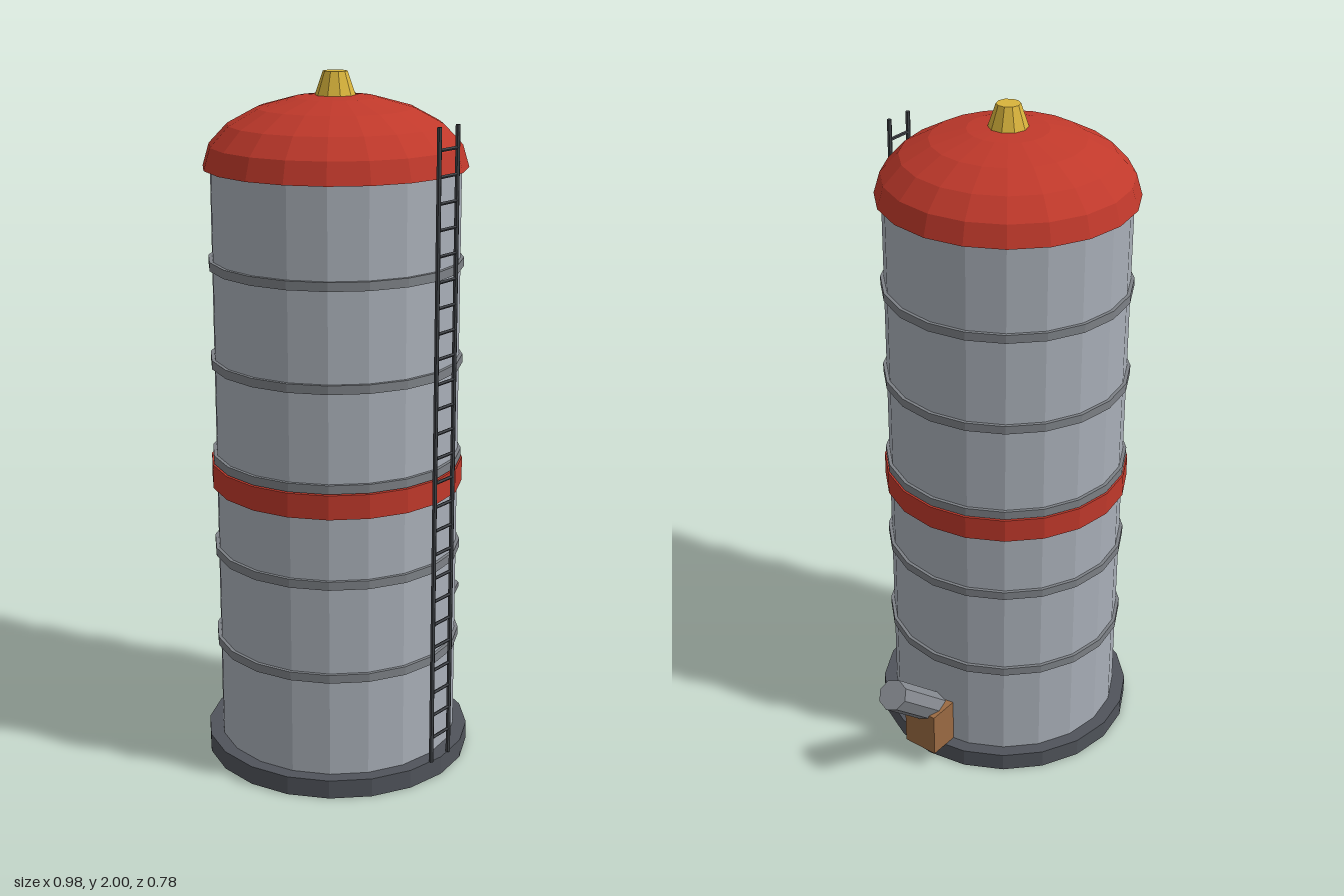
import * as THREE from 'three';

const material = (color, extra = {}) =>
  new THREE.MeshStandardMaterial({ color, flatShading: true, ...extra });

export function createModel() {
  const model = new THREE.Group();
  const steel = material(0xa9afb8);
  const hoopGrey = material(0x7d8186);
  const darkGrey = material(0x50545b);
  const red = material(0xc0392b);
  const redShell = material(0xc0392b, { side: THREE.DoubleSide });
  const gold = material(0xd9b43c);
  const brown = material(0x9a6a42);
  const pipeGrey = material(0x85898f);
  const ladderGrey = material(0x3f4247);

  const add = (parent, name, geometry, mat, x = 0, y = 0, z = 0) => {
    const mesh = new THREE.Mesh(geometry, mat);
    mesh.name = name;
    mesh.position.set(x, y, z);
    parent.add(mesh);
    return mesh;
  };
  // Upright cylinder spanning y0..y1
  const drum = (parent, name, rTop, rBottom, y0, y1, sides, mat, x = 0, z = 0) =>
    add(parent, name, new THREE.CylinderGeometry(rTop, rBottom, y1 - y0, sides), mat, x, (y0 + y1) / 2, z);

  // Tower, offset to leave room for the chute
  const tower = new THREE.Group();
  tower.name = 'tower';
  tower.position.x = -0.1;
  model.add(tower);
  drum(tower, 'base', 0.39, 0.39, 0, 0.055, 20, darkGrey);
  drum(tower, 'body', 0.35, 0.35, 0.05, 1.745, 20, steel);
  drum(tower, 'redBand', 0.364, 0.364, 0.83, 0.9, 20, red);
  for (let i = 0; i < 5; i++) {
    const y = 0.355 + i * 0.28;
    drum(tower, 'hoop', 0.36, 0.36, y - 0.0125, y + 0.0125, 20, hoopGrey);
  }

  // Flattened dome and its vent cap
  const domeShape = new THREE.SphereGeometry(0.37, 20, 5, 0, Math.PI * 2, 0, Math.PI / 2);
  domeShape.scale(1, 0.2 / 0.37, 1);
  add(tower, 'dome', domeShape, redShell, 0, 1.74, 0);
  drum(tower, 'ventCap', 0.034, 0.058, 1.93, 2, 10, gold);

  // Ladder up the front
  const ladder = new THREE.Group();
  ladder.name = 'ladder';
  ladder.position.z = 0.385;
  tower.add(ladder);
  for (const side of [-1, 1]) {
    drum(ladder, 'ladderRail', 0.007, 0.007, 0.055, 1.88, 6, ladderGrey, side * 0.041);
  }
  const rung = new THREE.CylinderGeometry(0.005, 0.005, 0.082, 5).rotateZ(Math.PI / 2);
  for (let i = 0; i < 25; i++) {
    add(ladder, 'ladderRung', rung, ladderGrey, 0, 0.13 + i * 0.0704, 0);
  }

  // Outlet box with a slanted chute
  add(model, 'outletBox', new THREE.BoxGeometry(0.095, 0.14, 0.112), brown, 0.2875, 0.125, 0);
  const tilt = THREE.MathUtils.degToRad(42);
  const length = 0.26;
  const chute = add(model, 'chute', new THREE.CylinderGeometry(0.047, 0.047, length, 8), pipeGrey,
    0.457 - Math.cos(tilt) * length / 2, 0.338 - Math.sin(tilt) * length / 2, 0);
  chute.rotation.z = tilt - Math.PI / 2;

  return model;
}
